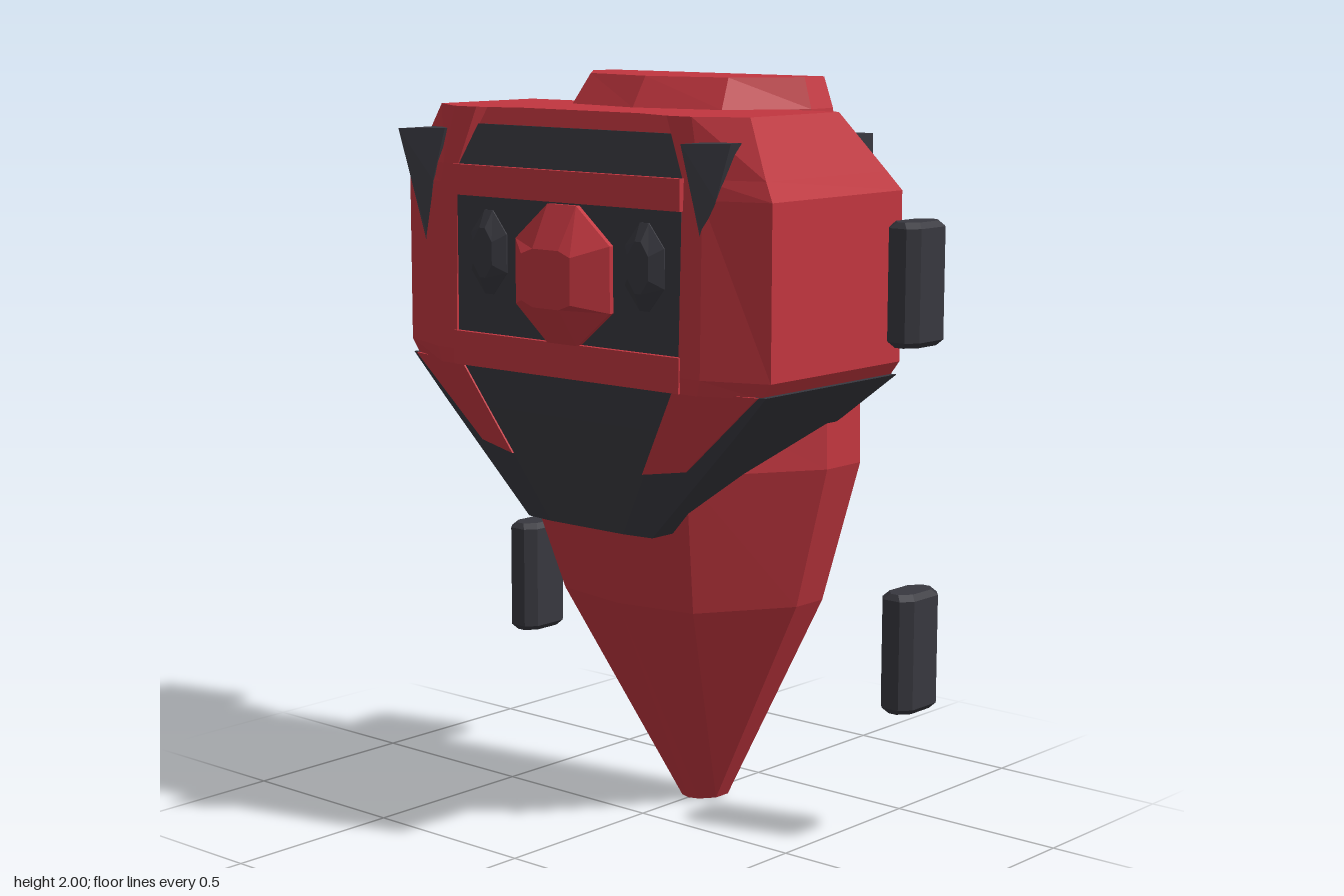
import * as THREE from 'three';

const red = new THREE.MeshStandardMaterial({ color: 0xc2363f });
red.name = 'red';
const dark = new THREE.MeshStandardMaterial({ color: 0x38383f });
dark.name = 'charcoal';

// Faceted solid through rings of [x, y, z] points, capped at both ends
function loft(rings) {
  const tris = [];
  const n = rings[0].length;
  const cap = (ring, flip) => {
    const c = [0, 1, 2].map((k) => ring.reduce((s, p) => s + p[k], 0) / n);
    ring.forEach((p, i) => {
      const q = ring[(i + 1) % n];
      tris.push(flip ? [c, q, p] : [c, p, q]);
    });
  };
  for (let r = 0; r < rings.length - 1; r++) {
    for (let i = 0; i < n; i++) {
      const j = (i + 1) % n;
      const [a, b, c, d] = [rings[r][i], rings[r][j], rings[r + 1][j], rings[r + 1][i]];
      tris.push([a, b, c], [a, c, d]);
    }
  }
  cap(rings[0], true);
  cap(rings[rings.length - 1], false);
  // Turn all faces outward whatever the ring direction
  const V = (p) => new THREE.Vector3(...p);
  let volume = 0;
  for (const [a, b, c] of tris) volume += V(a).dot(V(b).cross(V(c)));
  const points = tris.flatMap(([a, b, c]) => (volume < 0 ? [a, c, b] : [a, b, c])).map(V);
  const g = new THREE.BufferGeometry().setFromPoints(points);
  g.computeVertexNormals();
  return g;
}

// Horizontal ring at height y from the +x half, mirrored to -x
function ringY(y, half) {
  const right = half.map(([x, z]) => [x, y, z]);
  const left = half.filter(([x]) => x > 0).reverse().map(([x, z]) => [-x, y, z]);
  return [...right, ...left];
}

// Octagonal ring facing z: half-sizes w, h with flats cw, ch
const octagon = (cx, cy, z, w, h, cw, ch) =>
  [[cw, h], [w, ch], [w, -ch], [cw, -h], [-cw, -h], [-w, -ch], [-w, ch], [-cw, h]]
    .map(([x, y]) => [cx + x, cy + y, z]);

export function createModel() {
  const model = new THREE.Group();
  const add = (name, geometry, material) => {
    const mesh = new THREE.Mesh(geometry, material);
    mesh.name = name;
    model.add(mesh);
    return mesh;
  };
  const box = (name, x0, x1, y0, y1, z0, z1, material) =>
    add(name, new THREE.BoxGeometry(x1 - x0, y1 - y0, z1 - z0), material)
      .position.set((x0 + x1) / 2, (y0 + y1) / 2, (z0 + z1) / 2);

  // Tapering hull with a flat back: y, side x, side z, shoulder x, shoulder z, ridge z
  add('hull', loft([
    [0, 0.06, -0.24, 0.03, -0.2, -0.19],
    [0.61, 0.385, -0.18, 0.23, 0.06, 0.1],
    [1.0, 0.505, -0.15, 0.3, 0.17, 0.21],
    [1.2, 0.5, -0.15, 0.3, 0.16, 0.2],
    [1.92, 0.4, -0.2, 0.26, -0.01, 0.04],
    [2.0, 0.37, -0.21, 0.24, -0.06, -0.01],
  ].map(([y, x, z, x2, z2, z0]) =>
    ringY(y, [[x, -0.291], [x, z], [x2, z2], [0, z0]]))), red);

  // Head shell: y, side x, back z, side z, corner x, corner z, inset x, inset z
  add('headShell', loft([
    [1.24, 0.6, -0.285, 0.24, 0.45, 0.305, 0.39, 0.29],
    [1.28, 0.63, -0.285, 0.24, 0.46, 0.307, 0.39, 0.29],
    [1.72, 0.63, -0.285, 0.24, 0.455, 0.295, 0.39, 0.287],
    [1.77, 0.606, -0.25, 0.235, 0.445, 0.293, 0.39, 0.285],
    [1.92, 0.535, -0.14, 0.21, 0.41, 0.283, 0.33, 0.24],
  ].map(([y, x, zb, zs, xc, zc, xi, zi]) =>
    ringY(y, [[x, zb], [x, zs], [xc, zc], [xi, zc], [xi, zi]]))), red);
  box('backPanel', -0.62, 0.62, 1.27, 1.7, -0.288, -0.284, dark);

  // Front face panels
  box('facePanel', -0.39, 0.39, 1.33, 1.69, 0.288, 0.297, dark);
  box('upperBar', -0.395, 0.395, 1.69, 1.77, 0.25, 0.309, red);
  box('lowerBar', -0.395, 0.395, 1.24, 1.33, 0.25, 0.312, red);
  add('browWindow', loft([
    ringY(1.77, [[0.39, 0.28], [0.39, 0.29]]),
    ringY(1.875, [[0.348, 0.249], [0.348, 0.259]]),
  ]), dark);

  // Faceted nose and eyes
  add('nose', loft([
    octagon(0, 1.505, 0.28, 0.165, 0.18, 0.05, 0.085),
    octagon(0, 1.505, 0.31, 0.165, 0.18, 0.05, 0.085),
    octagon(0, 1.5, 0.372, 0.085, 0.075, 0.045, 0.06),
  ]), red);
  for (const s of [-1, 1]) {
    add('eye', loft([
      octagon(s * 0.272, 1.545, 0.28, 0.065, 0.11, 0.015, 0.05),
      octagon(s * 0.272, 1.545, 0.3, 0.065, 0.11, 0.015, 0.05),
      octagon(s * 0.272, 1.545, 0.325, 0.035, 0.065, 0.01, 0.03),
    ]), dark);
  }

  // Jaw: y, side x, back z, side front z, corner x, corner z
  add('jaw', loft([
    [0.835, 0.22, 0.13, 0.21, 0.13, 0.222],
    [1.13, 0.511, -0.2, 0.235, 0.305, 0.279],
    [1.245, 0.62, -0.288, 0.245, 0.37, 0.3],
  ].map(([y, x, zb, zs, xc, zc]) =>
    ringY(y, [[x, zb], [x, zs], [xc, zc]]))), dark);

  for (const s of [-1, 1]) {
    // Red cheek plates lying on the jaw
    const cheek = [[0.37, 1.245, 0.3], [0.6, 1.245, 0.249], [0.36, 1.03, 0.238], [0.23, 1.01, 0.256]];
    add('cheek', loft([-0.003, 0.006].map((d) =>
      cheek.map(([x, y, z]) => [s * x, y, z + d]))), red);

    // Rear posts on the shoulders
    box('rearPost', s * 0.49 - 0.042, s * 0.49 + 0.042, 1.7, 1.86, -0.289, -0.19, dark);

    // Chamfered side pods, upper and lower
    for (const y of [1.325, 0.363]) {
      const pod = (h, w, d) => octagon(0, 0, 0, w, d, w - 0.025, d - 0.03)
        .map(([px, pz]) => [s * 0.675 + px, y + h, pz - 0.29]);
      add('sidePod', loft([
        pod(0, 0.037, 0.07), pod(0.015, 0.051, 0.082),
        pod(0.305, 0.051, 0.082), pod(0.32, 0.037, 0.07),
      ]), dark);
    }
  }

  // Forward spikes, the same shape on both sides
  for (const x of [-0.535, 0.45]) {
    add('browSpike', loft([
      [[x, 1.86, 0.37], [x + 0.083, 1.86, 0.28], [x + 0.083, 1.86, 0.24], [x, 1.86, 0.24]],
      [[x, 1.72, 0.325], [x + 0.04, 1.72, 0.285], [x + 0.04, 1.72, 0.24], [x, 1.72, 0.24]],
      [[x, 1.56, 0.275], [x + 0.004, 1.56, 0.27], [x + 0.004, 1.56, 0.24], [x, 1.56, 0.24]],
    ]), dark);
  }
  return model;
}
